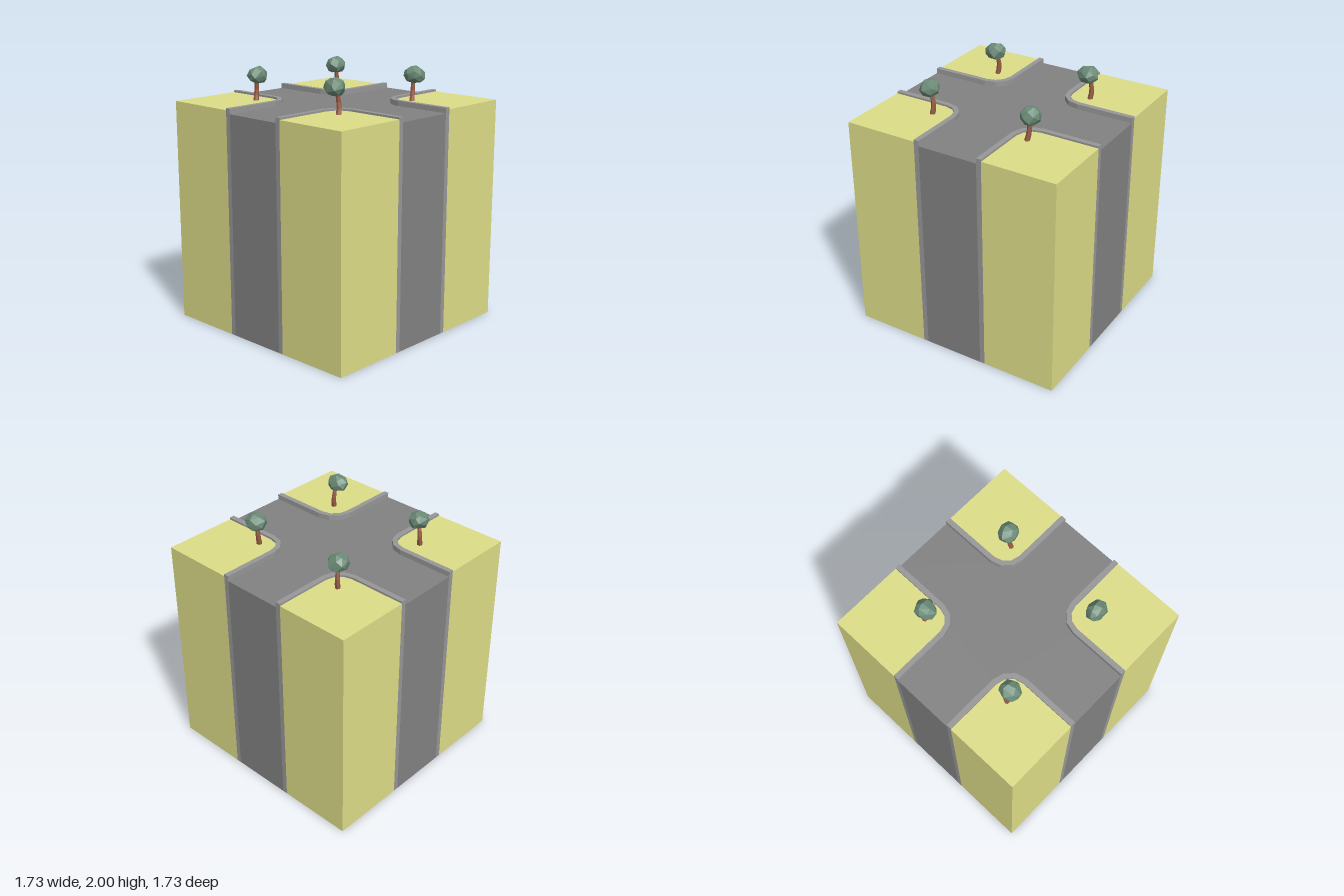
import * as THREE from 'three';
import { ConvexGeometry } from 'three/addons/geometries/ConvexGeometry.js';

const HALF = 0.865, ROAD_Y = 1.71, GRASS_Y = 1.735, CURB_Y = 1.75;
const ROAD_EDGE = 0.24, CURB_EDGE = 0.28, CORNER = 0.41;

const material = (color, side = THREE.DoubleSide) =>
  new THREE.MeshStandardMaterial({ color, side, flatShading: true });

function seeded(seed) {
  return () => (seed = (seed * 16807) % 2147483647) / 2147483647;
}

function add(parent, name, geometry, mat) {
  const mesh = new THREE.Mesh(geometry, mat);
  mesh.name = name;
  parent.add(mesh);
  return mesh;
}

// Horizontal surface bounded by [x, z] points
function slab(points, y) {
  const shape = new THREE.Shape(points.map(([x, z]) => new THREE.Vector2(x, -z)));
  return new THREE.ShapeGeometry(shape).rotateX(-Math.PI / 2).translate(0, y, 0);
}

// Vertical strip along [x, z] points, facing the right hand of the path seen from above
function wall(points, y0, y1) {
  const v = [];
  for (let i = 0; i < points.length - 1; i++) {
    const [ax, az] = points[i], [bx, bz] = points[i + 1];
    v.push(ax, y0, az, bx, y0, bz, bx, y1, bz, ax, y0, az, bx, y1, bz, ax, y1, az);
  }
  const g = new THREE.BufferGeometry();
  g.setAttribute('position', new THREE.Float32BufferAttribute(v, 3));
  g.computeVertexNormals();
  return g;
}

// Edge of one street corner: straight, rounded in three segments, straight
function cornerLine(edge) {
  const r = CORNER - edge, line = [[HALF, edge]];
  for (let i = 0; i <= 3; i++) {
    const t = (i * Math.PI) / 6;
    line.push([CORNER - r * Math.sin(t), CORNER - r * Math.cos(t)]);
  }
  line.push([edge, HALF]);
  return line;
}

// Bent tapered trunk with a faceted crown
function makeTree(seed, base, crown, size, mats) {
  const tree = new THREE.Group(), rand = seeded(seed);
  const height = 0.17, dx = crown[0] - base[0], dz = crown[1] - base[1];
  const trunk = new THREE.CylinderGeometry(0.015, 0.021, height, 6, 4).translate(0, height / 2, 0);
  const p = trunk.attributes.position;
  for (let i = 0; i < p.count; i++) {
    const t = p.getY(i) / height, bend = 0.012 * Math.sin(t * Math.PI);
    p.setX(i, p.getX(i) + dx * 0.5 * t * t + bend);
    p.setZ(i, p.getZ(i) + dz * 0.5 * t * t - bend * 0.5);
  }
  trunk.translate(base[0], GRASS_Y - 0.003, base[1]);
  add(tree, 'trunk', trunk, mats.bark);

  // Crown: hull of scattered points on a slightly squat ball with a flattened underside
  const points = [], n = 24;
  for (let i = 0; i < n; i++) {
    const y = 1 - (2 * (i + 0.5)) / n, a = i * 2.4 + rand() * 0.6;
    const r = Math.sqrt(1 - y * y) * (0.93 + 0.14 * rand());
    points.push(new THREE.Vector3(
      r * Math.cos(a) * size[0], Math.max(y, -0.78) * 0.073, r * Math.sin(a) * size[1]));
  }
  const foliage = new ConvexGeometry(points);
  foliage.computeBoundingBox();
  foliage.translate(crown[0], 2 - foliage.boundingBox.max.y, crown[1]);
  add(tree, 'crown', foliage, mats.leaf);
  return tree;
}

export function createModel() {
  const model = new THREE.Group();
  model.name = 'crossroads';
  const grass = material(0xdddd88), curb = material(0x979797), road = material(0x828282);
  const mats = { bark: material(0x9c5f47, THREE.FrontSide), leaf: material(0x6b8a76, THREE.FrontSide) };

  const roadLine = cornerLine(ROAD_EDGE), innerLine = cornerLine(CURB_EDGE);
  const roadOutline = [];

  // Four identical street corners with the outer walls below them
  for (let k = 0; k < 4; k++) {
    const quarter = new THREE.Group();
    quarter.name = 'streetCorner' + (k + 1);
    quarter.rotation.y = (k * Math.PI) / 2;
    model.add(quarter);

    add(quarter, 'lawn', slab([...innerLine, [HALF, HALF]], GRASS_Y), grass);
    add(quarter, 'lawnWall',
      wall([[CURB_EDGE, HALF], [HALF, HALF], [HALF, CURB_EDGE]], 0, GRASS_Y), grass);

    add(quarter, 'curbTop', slab([...roadLine, ...[...innerLine].reverse()], CURB_Y), curb);
    add(quarter, 'curbRoadFace', wall(roadLine, ROAD_Y, CURB_Y), curb);
    add(quarter, 'curbLawnFace', wall([...innerLine].reverse(), GRASS_Y, CURB_Y), curb);
    add(quarter, 'curbFrontWall', wall([[ROAD_EDGE, HALF], [CURB_EDGE, HALF]], 0, CURB_Y), curb);
    add(quarter, 'curbSideWall', wall([[HALF, CURB_EDGE], [HALF, ROAD_EDGE]], 0, CURB_Y), curb);

    add(quarter, 'roadWall', wall([[-ROAD_EDGE, HALF], [ROAD_EDGE, HALF]], 0, ROAD_Y), road);

    // Same corner line turned by k quarter turns, walked so the outline stays connected
    const c = Math.round(Math.cos((k * Math.PI) / 2)), s = Math.round(Math.sin((k * Math.PI) / 2));
    for (const [x, z] of [...roadLine].reverse()) roadOutline.push([x * c + z * s, z * c - x * s]);
  }
  add(model, 'roadSurface', slab(roadOutline, ROAD_Y), road);

  // Trees: seed, trunk base, crown centre, crown radii
  const trees = [
    ['backRightTree', 11, [-0.42, -0.45], [-0.422, -0.423], [0.083, 0.078]],
    ['backLeftTree', 29, [0.43, -0.41], [0.412, -0.403], [0.086, 0.078]],
    ['frontRightTree', 47, [-0.43, 0.43], [-0.455, 0.415], [0.071, 0.086]],
    ['frontLeftTree', 83, [0.38, 0.43], [0.408, 0.427], [0.078, 0.086]],
  ];
  for (const [name, seed, base, crown, size] of trees) {
    const tree = makeTree(seed, base, crown, size, mats);
    tree.name = name;
    model.add(tree);
  }
  return model;
}
